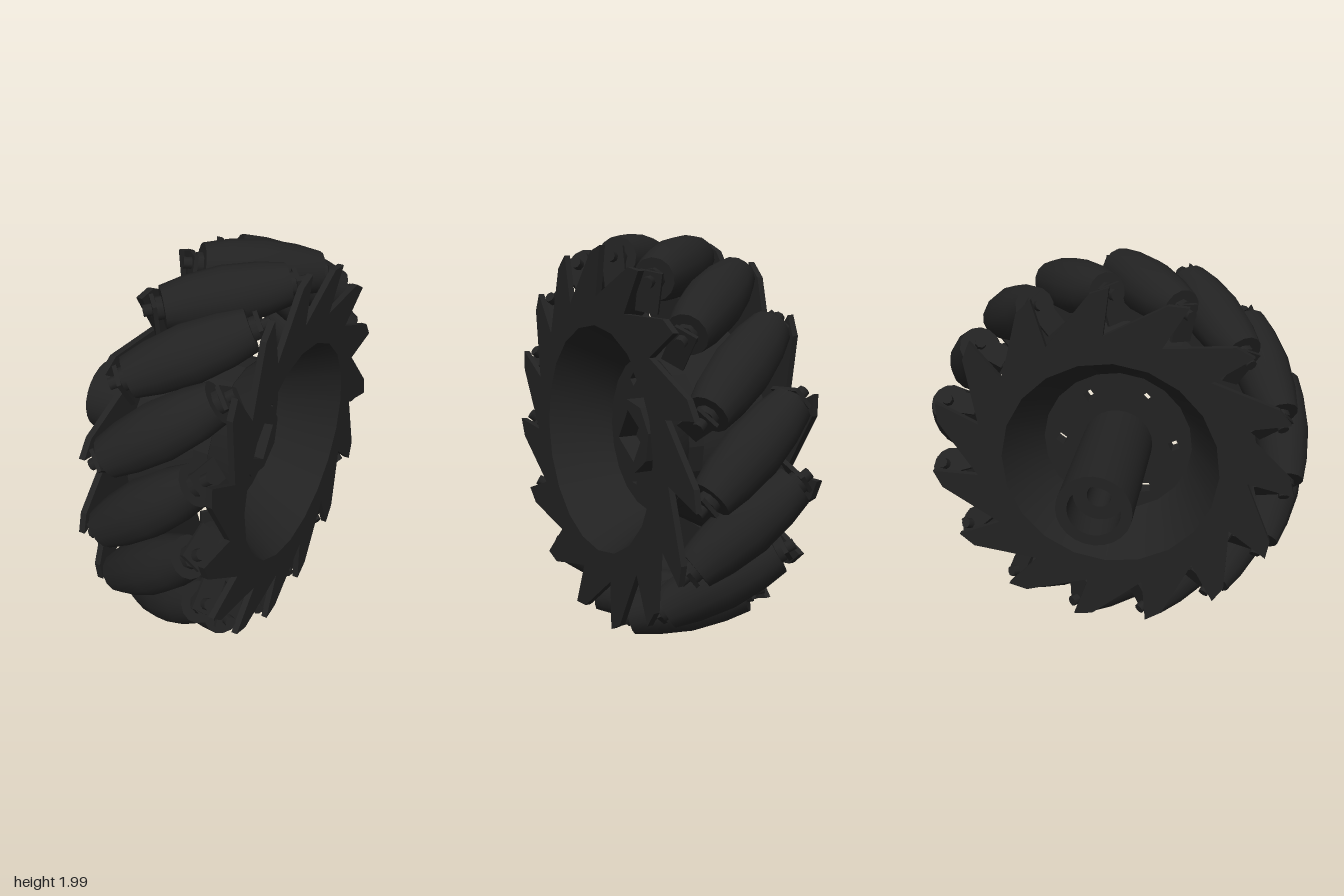
import * as THREE from 'three';
import { toCreasedNormals } from 'three/addons/utils/BufferGeometryUtils.js';

const COUNT = 15, PITCH = 24, PHASE = 10;
const rad = THREE.MathUtils.degToRad;
const material = new THREE.MeshStandardMaterial({ color: 0x222222, side: THREE.DoubleSide });

function part(name, geometry, parent) {
  const mesh = new THREE.Mesh(geometry, material);
  mesh.name = name;
  parent.add(mesh);
  return mesh;
}

// Point on a disc: angle measured from the top toward the front (+z)
const polar = (r, deg) => new THREE.Vector2(-r * Math.sin(rad(deg)), r * Math.cos(rad(deg)));

function ring(r, sides, start = 0) {
  return Array.from({ length: sides }, (_, i) => polar(r, start + (i * 360) / sides));
}

// Extrude a disc-like shape along the axle from x0 to x1
function slab(points, holes, x0, x1) {
  const shape = new THREE.Shape(points);
  shape.holes = holes.map((h) => new THREE.Path(h));
  return new THREE.ExtrudeGeometry(shape, { depth: x1 - x0, bevelEnabled: false })
    .translate(0, 0, x0).rotateY(Math.PI / 2);
}

// Revolve [radius, position] pairs around y
function revolve(profile, sides) {
  const points = profile.map(([r, y]) => new THREE.Vector2(r, y));
  return toCreasedNormals(new THREE.LatheGeometry(points, sides), rad(35));
}

// One side of the rim: saw-toothed plate and the dish leading to the web
function createRimHalf() {
  const half = new THREE.Group();
  const outline = [];
  for (let i = 0; i < COUNT; i++) {
    const a = i * PITCH - 4;
    outline.push(polar(0.94, a), polar(0.91, a + 6), polar(0.7, a + 26.5));
  }
  part('toothedPlate', slab(outline, [ring(0.56, 20)], 0.3, 0.33), half);
  part('dish', revolve([[0.39, 0.03], [0.42, 0.08], [0.56, 0.33]], 20).rotateZ(-Math.PI / 2), half);
  return half;
}

export function createModel() {
  const model = new THREE.Group();
  model.name = 'rollerWheel';
  const wheel = new THREE.Group();
  wheel.name = 'wheel';
  wheel.position.set(0.23, 1, 0);
  model.add(wheel);

  // Two rim halves, the second turned half round about a radial line
  const right = createRimHalf();
  right.name = 'outerRim';
  const left = createRimHalf();
  left.name = 'innerRim';
  left.quaternion.setFromAxisAngle(new THREE.Vector3(0, Math.cos(rad(PHASE)), Math.sin(rad(PHASE))), Math.PI);
  wheel.add(right, left);

  // Central web with six small bolt holes and an axle hole
  const boltHoles = Array.from({ length: 6 }, (_, i) => {
    const c = polar(0.3, 30 + i * 60);
    return ring(0.035, 4, i * 20).map((p) => p.add(c));
  });
  part('web', slab(ring(0.4, 20), [...boltHoles, ring(0.06, 12)], -0.04, 0.04), wheel);

  // Eight-sided hub with a square socket
  part('hub', slab(ring(0.185, 8, 12), [ring(0.13, 4, 12)], 0.04, 0.14), wheel);

  // Hollow axle sleeve
  const sleeve = [[0.06, -0.64], [0.13, -0.64], [0.13, -0.795], [0.185, -0.795],
    [0.185, -0.04], [0.06, -0.04], [0.06, -0.64]];
  part('axleSleeve', revolve(sleeve, 24).rotateZ(-Math.PI / 2), wheel);

  // Barrel rollers set askew around the rim, each with a pin and two brackets
  const barrel = [[0, -0.29], [0.1, -0.29], [0.125, -0.17], [0.14, 0], [0.125, 0.17], [0.1, 0.29], [0, 0.29]];
  const rollerGeometry = revolve(barrel, 14);
  const pinGeometry = new THREE.CylinderGeometry(0.028, 0.028, 0.76, 8);
  const collarGeometry = new THREE.CylinderGeometry(0.055, 0.055, 0.03, 8);
  const bracketGeometry = new THREE.BoxGeometry(0.19, 0.02, 0.11);
  for (let i = 0; i < COUNT; i++) {
    const spoke = new THREE.Group();
    spoke.name = 'rollerUnit';
    spoke.rotation.x = rad(PHASE + i * PITCH);
    wheel.add(spoke);
    const unit = new THREE.Group();
    unit.name = 'rollerAssembly';
    unit.position.y = 0.86;
    unit.rotation.set(0, rad(40), -Math.PI / 2);
    spoke.add(unit);
    part('roller', rollerGeometry, unit);
    part('pin', pinGeometry, unit);
    for (const s of [-1, 1]) {
      part('collar', collarGeometry, unit).position.y = s * 0.305;
      part('bracket', bracketGeometry, unit).position.set(0.05, s * 0.33, 0);
    }
  }
  return model;
}
